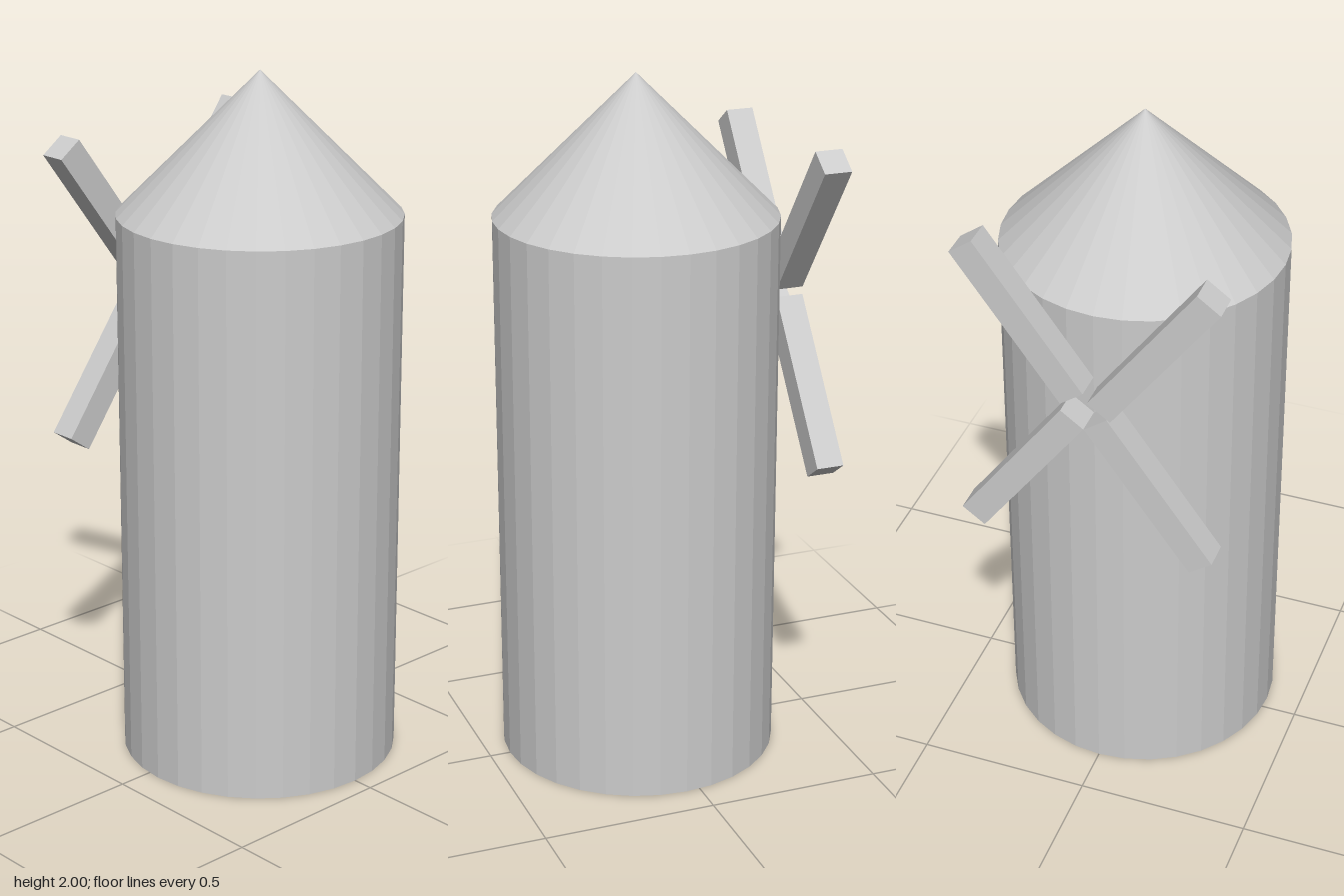
import * as THREE from 'three';

const SEGMENTS = 32;
const RADIUS = 0.4;
const TOWER_Z = 0.04;

export function createModel() {
  const model = new THREE.Group();
  model.name = 'windmill';
  const material = new THREE.MeshStandardMaterial({ color: 0xcccccc, flatShading: true });

  const add = (parent, name, geometry, x, y, z) => {
    const mesh = new THREE.Mesh(geometry, material);
    mesh.name = name;
    mesh.position.set(x, y, z);
    parent.add(mesh);
    return mesh;
  };

  // Tower and conical roof
  add(model, 'tower', new THREE.CylinderGeometry(RADIUS, RADIUS, 1.6, SEGMENTS), 0, 0.8, TOWER_Z);
  add(model, 'roof', new THREE.ConeGeometry(RADIUS, 0.4, SEGMENTS), 0, 1.8, TOWER_Z);

  // Four sails crossing behind the tower; the upper right one sits slightly lower
  const sails = new THREE.Group();
  sails.name = 'sails';
  sails.position.set(0, 1.344, -0.4);
  model.add(sails);
  const sail = new THREE.BoxGeometry(0.08, 0.51, 0.08);
  const tilt = Math.PI / 5;
  const placements = [
    ['upperLeftSail', 0.183, 0.241, -tilt],
    ['upperRightSail', -0.193, 0.214, tilt],
    ['lowerLeftSail', 0.183, -0.241, tilt],
    ['lowerRightSail', -0.183, -0.241, -tilt],
  ];
  for (const [name, x, y, angle] of placements) {
    add(sails, name, sail, x, y, 0).rotation.z = angle;
  }

  return model;
}
